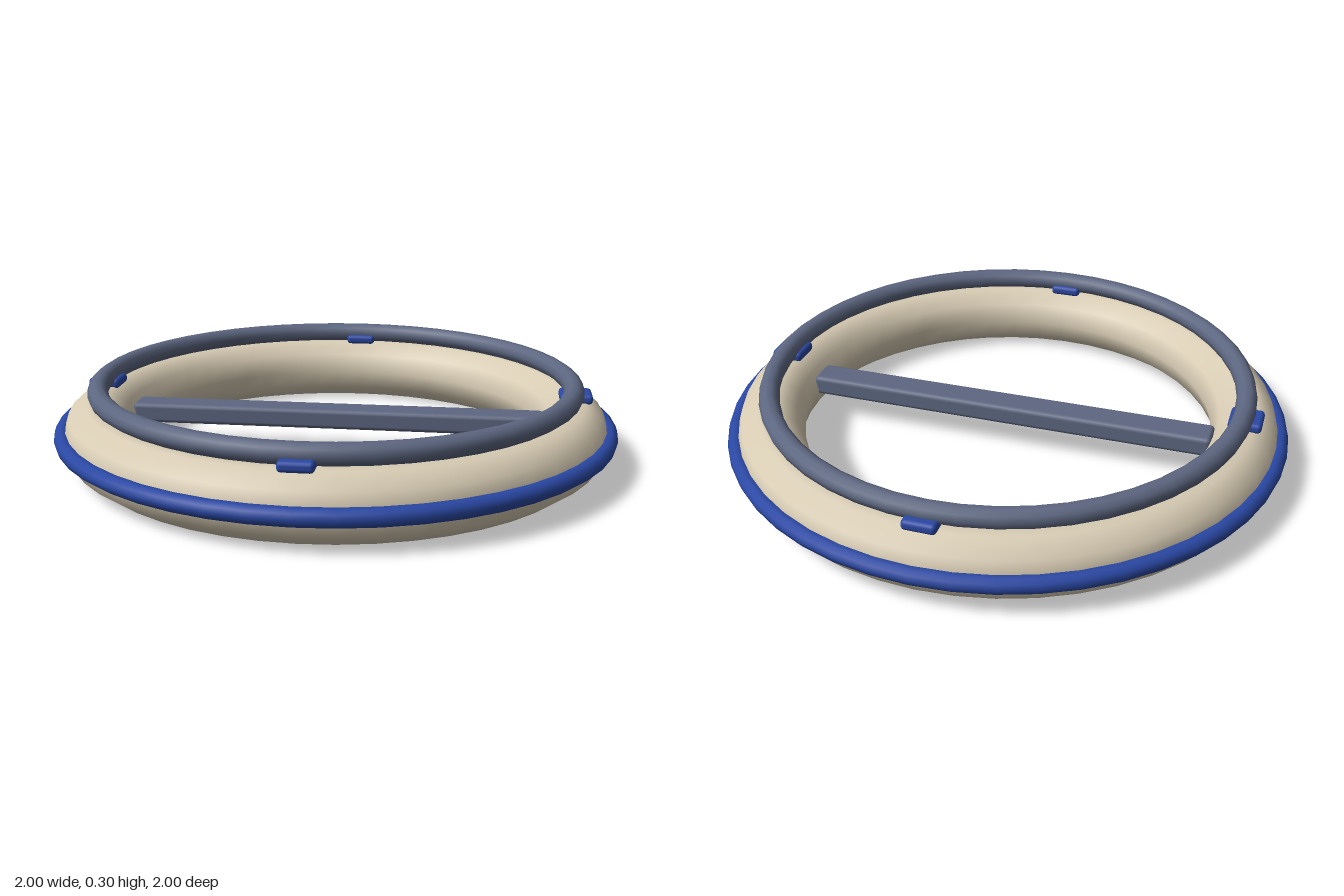
import * as THREE from 'three';
import { RoundedBoxGeometry } from 'three/addons/geometries/RoundedBoxGeometry.js';

const makeMaterial = (name, color) => {
  const m = new THREE.MeshStandardMaterial({ color });
  m.name = name;
  return m;
};

export function createModel() {
  const cream = makeMaterial('cream', 0xd9cdb5);
  const blue = makeMaterial('blue', 0x2a48a4);
  const slate = makeMaterial('slate', 0x5d6781);

  const model = new THREE.Group();
  model.name = 'ringFloat';

  const add = (name, geometry, material, x, y, z) => {
    const mesh = new THREE.Mesh(geometry, material);
    mesh.name = name;
    mesh.position.set(x, y, z);
    model.add(mesh);
    return mesh;
  };

  // Horizontal ring with a ten-sided smooth section
  const addRing = (name, radius, tube, y, material) =>
    add(name, new THREE.TorusGeometry(radius, tube, 10, 48).rotateX(-Math.PI / 2), material, 0, y, 0);

  addRing('floatTube', 0.85, 0.12, 0.118, cream);
  addRing('bumperStrip', 0.97, 0.03, 0.12, blue);
  addRing('topRail', 0.842, 0.036, 0.269, slate);

  // Flattened bar across the opening
  add('crossBar', new RoundedBoxGeometry(1.486, 0.072, 0.112, 2, 0.016), slate, 0, 0.138, 0);

  // Four clips holding the rail to the tube
  const clip = new RoundedBoxGeometry(0.114, 0.036, 0.114, 2, 0.014);
  for (let i = 0; i < 4; i++) {
    const a = (i * Math.PI) / 2;
    add('railClip' + (i + 1), clip, blue, Math.cos(a) * 0.849, 0.244, Math.sin(a) * 0.849);
  }

  return model;
}
